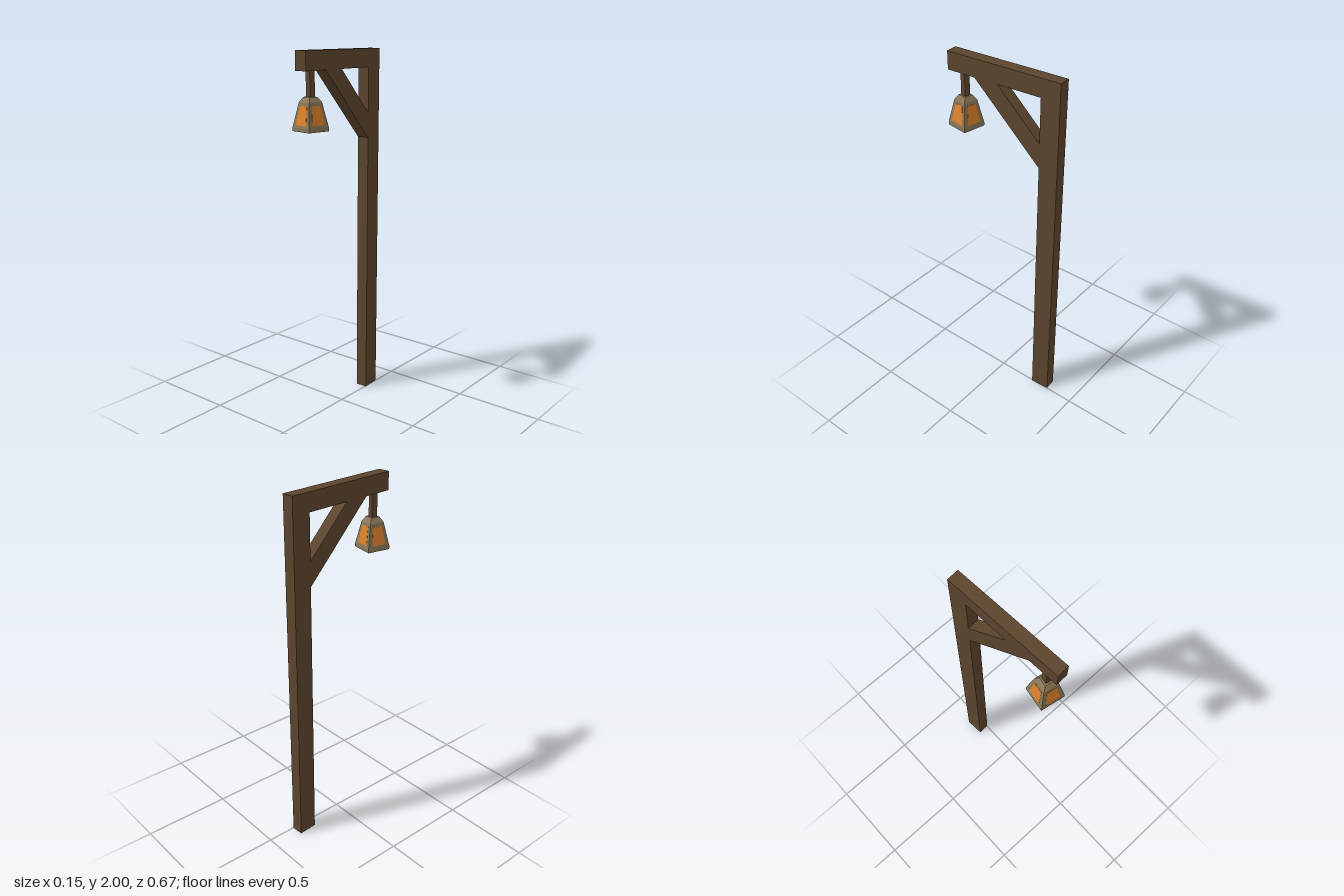
import * as THREE from 'three';

const wood = new THREE.MeshStandardMaterial({ name: 'brown wood', color: 0x5c452d, flatShading: true });
const metal = new THREE.MeshStandardMaterial({ name: 'tan metal', color: 0x897757, flatShading: true });
const glow = new THREE.MeshStandardMaterial({ name: 'orange glass', color: 0xdb7f2a, flatShading: true });

function addMesh(parent, name, geometry, material) {
  const mesh = new THREE.Mesh(geometry, material);
  mesh.name = name;
  parent.add(mesh);
  return mesh;
}

const outline = (points) => points.map(([x, y]) => new THREE.Vector2(x, y));

export function createModel() {
  const model = new THREE.Group();
  model.name = 'hangingLanternPost';

  // Post, beam and diagonal brace: one flush timber profile (z, y) with a triangular opening
  const width = 0.067;
  const profile = new THREE.Shape(outline([
    [-0.333, 0], [-0.225, 0], [-0.225, 1.515], [0.167, 1.9],
    [0.333, 1.9], [0.333, 2], [-0.333, 2],
  ]));
  profile.holes.push(new THREE.Path(outline([[-0.225, 1.652], [-0.225, 1.9], [0.027, 1.9]])));
  const timber = new THREE.ExtrudeGeometry(profile, { depth: width, bevelEnabled: false });
  timber.translate(0, 0, -width / 2).rotateY(-Math.PI / 2);
  const frame = addMesh(model, 'timberFrame', timber, wood);
  frame.position.x = -0.0145;
  frame.rotation.y = 0.0645;

  // Lantern, turned a little on its hanger
  const lantern = new THREE.Group();
  lantern.name = 'lantern';
  lantern.position.set(0, 1.597, 0.252);
  lantern.rotation.y = -0.168;
  model.add(lantern);

  // Hanger
  const hanger = addMesh(lantern, 'hanger', new THREE.BoxGeometry(0.032, 0.135, 0.032), wood);
  hanger.position.y = 0.2375;

  // Square housing: half width and height of each level
  const baseHalf = 0.066, baseY = 0.018, topHalf = 0.0415, topY = 0.147;
  const levels = [[0, 0], [baseHalf, 0], [baseHalf, baseY], [topHalf, topY], [0.025, 0.173], [0, 0.173]];
  const housing = new THREE.LatheGeometry(
    levels.map(([half, y]) => new THREE.Vector2(half * Math.SQRT2, y)), 4, Math.PI / 4);
  addMesh(lantern, 'housing', housing, metal);

  // Four tapered panes lying on the sloping sides
  const slope = Math.atan2(baseHalf - topHalf, topY - baseY);
  const pane = new THREE.ExtrudeGeometry(
    new THREE.Shape(outline([[-0.041, 0.014], [0.041, 0.014], [0.027, 0.113], [-0.027, 0.113]])),
    { depth: 0.002, bevelEnabled: false });
  pane.translate(0, 0, -0.001).rotateX(-slope).translate(0, baseY, baseHalf);
  for (let i = 0; i < 4; i++) {
    addMesh(lantern, 'pane' + (i + 1), pane, glow).rotation.y = i * Math.PI / 2;
  }

  return model;
}
